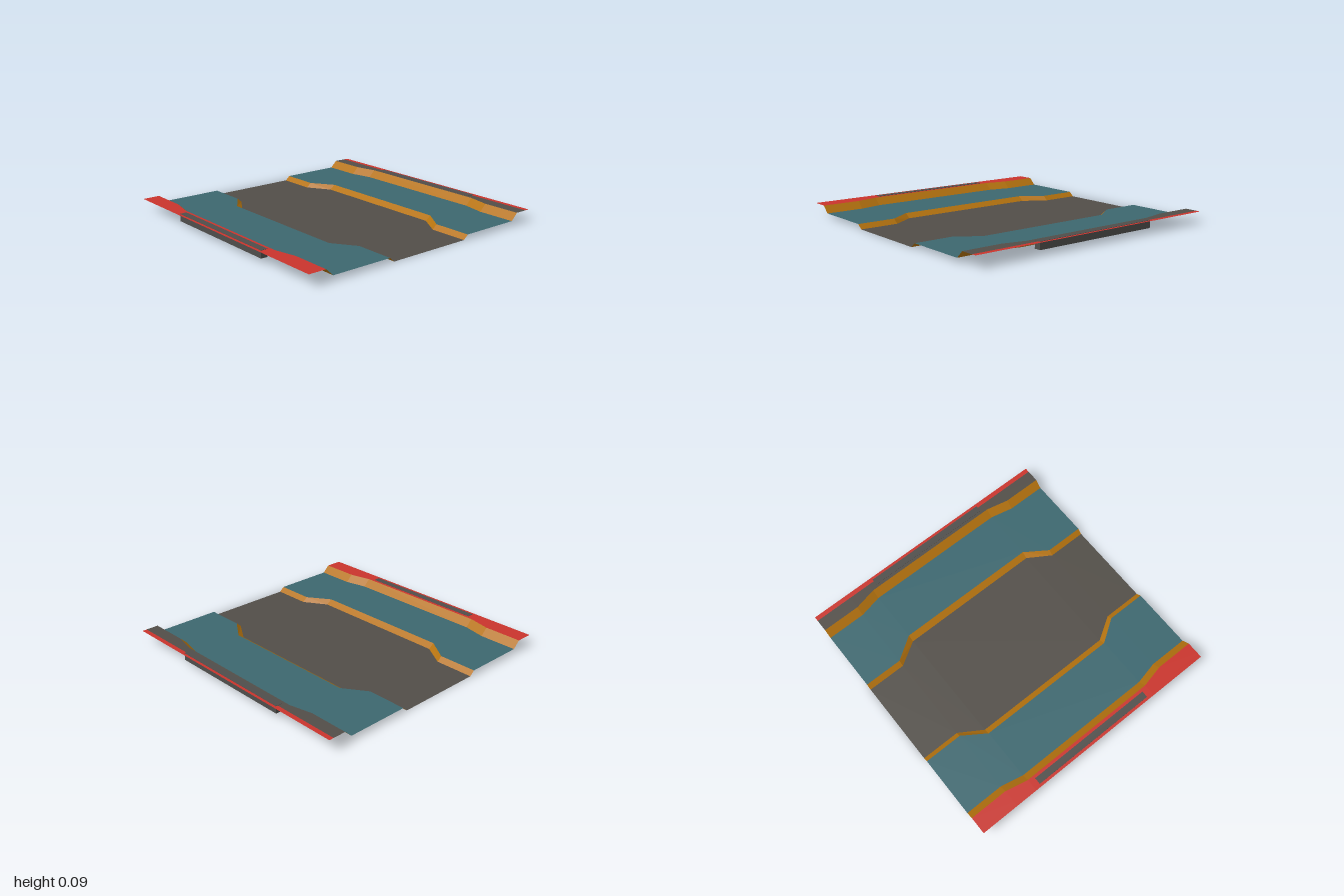
import * as THREE from 'three';

const paint = (name, color) => {
  const m = new THREE.MeshStandardMaterial({ color, side: THREE.DoubleSide });
  m.name = name;
  return m;
};

// Break points along the width: narrow ends, angled shoulders, wide middle
const XS = [-1, -0.71, -0.54, 0.54, 0.71, 1];
const WIDE = [0, 0, 1, 1, 0, 0];

// Cross-section edges: z at the ends, z in the middle, height
const FLOOR = { end: 0.322, mid: 0.428, y: 0 };
const LEDGE_IN = { end: 0.358, mid: 0.472, y: 0.032 };
const LEDGE_OUT = { end: 0.818, mid: 0.855, y: 0.032 };
const RIM_IN = { end: 0.871, mid: 0.908, y: 0.083 };
const RIM_SPLIT = { end: 0.965, mid: 0.965, y: 0.083 };
const RIM_OUT = { end: 1, mid: 1, y: 0.083 };

// Flat-faced sheet between two edges, facing up; s1 and s2 pick front (+1) or back (-1)
function sheet(name, material, e1, s1, e2, s2) {
  const row = (e, s) => XS.map((x, i) => [x, e.y, s * (WIDE[i] ? e.mid : e.end)]);
  let near = row(e1, s1), far = row(e2, s2);
  if (near[0][2] > far[0][2]) [near, far] = [far, near];
  const pos = [];
  for (let i = 0; i < XS.length - 1; i++) {
    const a = near[i], b = far[i], c = far[i + 1], d = near[i + 1];
    pos.push(...a, ...b, ...c, ...a, ...c, ...d);
  }
  const g = new THREE.BufferGeometry();
  g.setAttribute('position', new THREE.Float32BufferAttribute(pos, 3));
  g.computeVertexNormals();
  const mesh = new THREE.Mesh(g, material);
  mesh.name = name;
  return mesh;
}

export function createModel() {
  const grey = paint('warm grey', 0x524e48);
  const teal = paint('teal', 0x3c676f);
  const orange = paint('orange', 0xb5730f);
  const red = paint('red', 0xc9342c);
  const metal = paint('dark metal', 0x4f4e4b);

  const model = new THREE.Group();
  model.name = 'steppedFloorPanel';

  // Sunken central floor
  model.add(sheet('centralFloor', grey, FLOOR, -1, FLOOR, 1));

  for (const [side, s] of [['front', 1], ['back', -1]]) {
    // Slopes and ledge rising toward the rim
    model.add(sheet(side + 'LowerSlope', orange, FLOOR, s, LEDGE_IN, s));
    model.add(sheet(side + 'Ledge', teal, LEDGE_IN, s, LEDGE_OUT, s));
    model.add(sheet(side + 'UpperSlope', orange, LEDGE_OUT, s, RIM_IN, s));

    // Rim: the back one is grey with a red edge stripe
    model.add(sheet(side + 'Rim', s > 0 ? red : grey, RIM_IN, s, RIM_SPLIT, s));
    model.add(sheet(side + 'RimEdge', red, RIM_SPLIT, s, RIM_OUT, s));

    // Bar set into the rim
    const bar = new THREE.Mesh(new THREE.BoxGeometry(0.988, 0.055, 0.05), metal);
    bar.name = side + 'Bar';
    bar.position.set(0, 0.0575, s * 0.955);
    model.add(bar);
  }
  return model;
}
